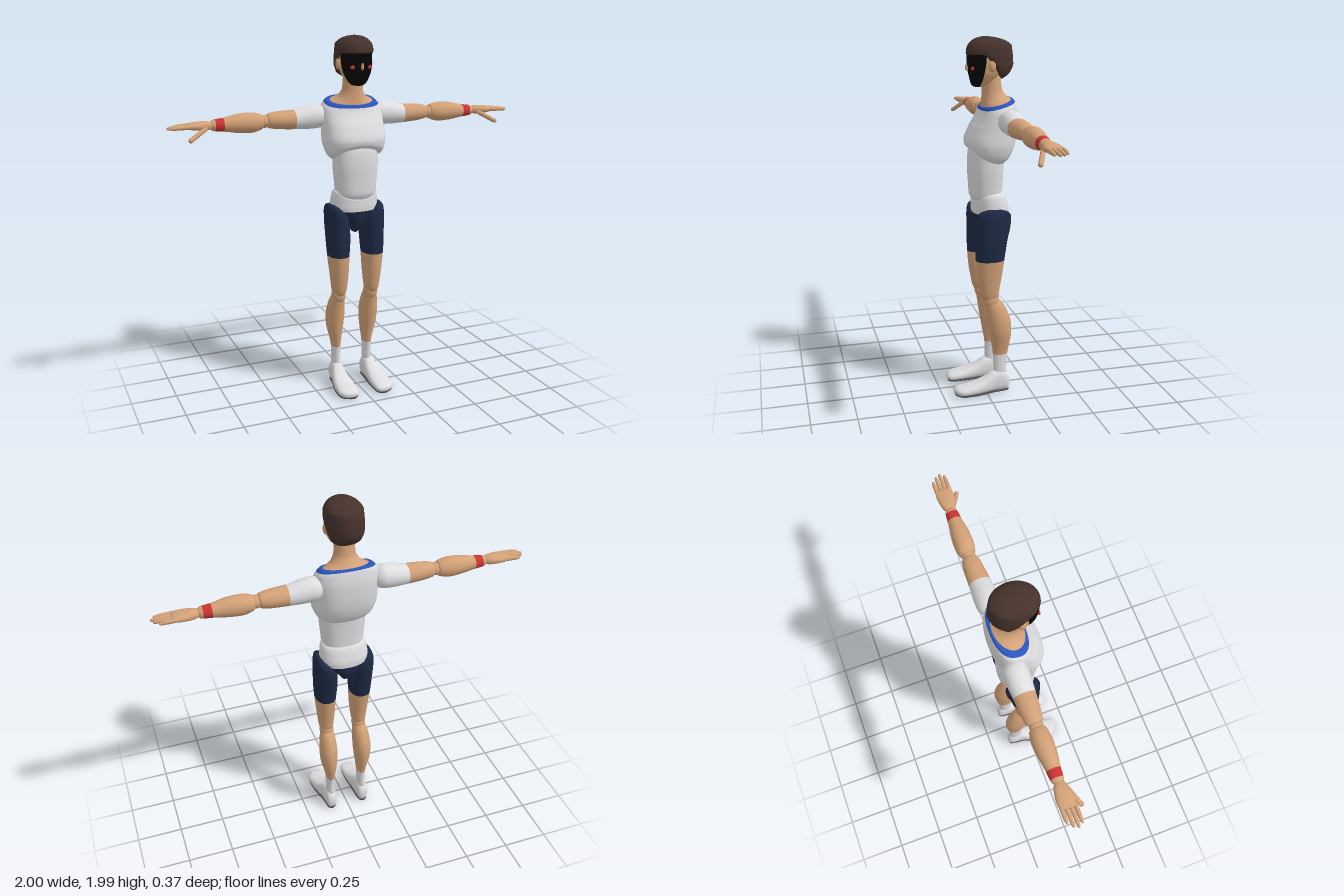
import * as THREE from 'three';

const colour = (name, hex) => {
  const m = new THREE.MeshStandardMaterial({ color: hex });
  m.name = name;
  return m;
};
const skin = colour('skin', 0xd2a177), white = colour('white cloth', 0xdedee0), navy = colour('navy shorts', 0x1d2a44);
const brown = colour('hair brown', 0x46322c), black = colour('mask black', 0x060606), red = colour('red', 0xcc3434);
const blue = colour('collar blue', 0x2a56c0), grey = colour('sole grey', 0x4a4a4e);

const clamp = (v) => Math.min(1, Math.max(0, v));

// Smooth value k of the section table at t, without overshoot
function sample(secs, t, k) {
  let i = 0;
  while (i < secs.length - 2 && t > secs[i + 1][0]) i++;
  const slope = (j) => j < 0 || j >= secs.length - 1 ? null : (secs[j + 1][k] - secs[j][k]) / (secs[j + 1][0] - secs[j][0]);
  const tangent = (j) => {
    const a = slope(j - 1), b = slope(j);
    if (a === null) return b;
    if (b === null) return a;
    return a * b <= 0 ? 0 : (2 * a * b) / (a + b);
  };
  const h = secs[i + 1][0] - secs[i][0], s = (t - secs[i][0]) / h;
  const p = secs[i][k], q = secs[i + 1][k], s2 = s * s, s3 = s2 * s;
  return p * (2 * s3 - 3 * s2 + 1) + q * (3 * s2 - 2 * s3) + h * (tangent(i) * (s3 - 2 * s2 + s) + tangent(i + 1) * (s3 - s2));
}

// Loft through sections [t, uMin, uMax, vMin, vMax]
// axis x: u=y v=z; axis y: u=z v=x; axis z: u=x v=y
function loft(name, mat, axis, secs, { from, to, pow = 2, n = 32, arc, warp } = {}) {
  const first = secs[0][0], last = secs[secs.length - 1][0];
  const lo = from ?? first, hi = to ?? last;
  const ts = [];
  const knots = [lo, ...secs.map((s) => s[0]).filter((t) => t > lo + 1e-6 && t < hi - 1e-6), hi];
  for (let i = 0; i < knots.length - 1; i++) for (let j = 0; j < 3; j++) ts.push(knots[i] + ((knots[i + 1] - knots[i]) * j) / 3);
  ts.push(hi);
  const pos = [], idx = [];
  const cols = arc ? n + 1 : n;
  const put = (t, u, v) => {
    const p = axis === 'x' ? new THREE.Vector3(t, u, v) : axis === 'y' ? new THREE.Vector3(v, t, u) : new THREE.Vector3(u, v, t);
    if (warp) warp(p);
    pos.push(p.x, p.y, p.z);
  };
  const bend = (c) => Math.sign(c) * Math.abs(c) ** (2 / pow);
  for (const t of ts) {
    const [u0, u1, v0, v1] = [1, 2, 3, 4].map((k) => sample(secs, t, k));
    for (let j = 0; j < cols; j++) {
      const a = arc ? arc[0] + ((arc[1] - arc[0]) * j) / n : (j / n) * Math.PI * 2;
      put(t, (u0 + u1) / 2 + ((u1 - u0) / 2) * bend(Math.cos(a)), (v0 + v1) / 2 + ((v1 - v0) / 2) * bend(Math.sin(a)));
    }
  }
  for (let i = 0; i < ts.length - 1; i++) for (let j = 0; j < n; j++) {
    const a = i * cols + j, b = i * cols + ((j + 1) % cols);
    idx.push(a, b, b + cols, a, b + cols, a + cols);
  }
  // Close only the true ends
  const cap = (row, t, flip) => {
    const c = pos.length / 3;
    put(t, (sample(secs, t, 1) + sample(secs, t, 2)) / 2, (sample(secs, t, 3) + sample(secs, t, 4)) / 2);
    for (let j = 0; j < n; j++) {
      const a = row * cols + j, b = row * cols + ((j + 1) % cols);
      flip ? idx.push(c, b, a) : idx.push(c, a, b);
    }
  };
  if (!arc && lo === first) cap(0, lo, true);
  if (!arc && hi === last) cap(ts.length - 1, hi, false);
  const g = new THREE.BufferGeometry();
  g.setAttribute('position', new THREE.Float32BufferAttribute(pos, 3));
  g.setIndex(idx);
  g.computeVertexNormals();
  const mesh = new THREE.Mesh(g, mat);
  mesh.name = name;
  return mesh;
}

function ball(name, mat, [x, y, z], [rx, ry, rz]) {
  const mesh = new THREE.Mesh(new THREE.SphereGeometry(1, 24, 16).scale(rx, ry, rz).translate(x, y, z), mat);
  mesh.name = name;
  return mesh;
}

function mirrored(mesh) {
  const g = mesh.geometry.clone().scale(-1, 1, 1), ix = g.index.array;
  for (let i = 0; i < ix.length; i += 3) [ix[i], ix[i + 1]] = [ix[i + 1], ix[i]];
  const m = new THREE.Mesh(g, mesh.material);
  m.name = mesh.name.replace('left', 'right');
  return m;
}

export function createModel() {
  const model = new THREE.Group();
  model.name = 'jointedFigure';
  const group = (name, parts) => {
    const g = new THREE.Group();
    g.name = name;
    g.add(...parts);
    model.add(g);
  };
  const pair = (name, parts) => {
    group('left' + name, parts);
    group('right' + name, parts.map(mirrored));
  };

  // Head, mask and hair
  const skull = [[1.73, -0.03, 0.045, -0.03, 0.03], [1.742, -0.05, 0.056, -0.048, 0.048], [1.77, -0.08, 0.064, -0.068, 0.068],
    [1.81, -0.11, 0.073, -0.085, 0.085], [1.86, -0.14, 0.08, -0.091, 0.091], [1.91, -0.145, 0.078, -0.092, 0.092], [1.96, -0.1, 0.04, -0.06, 0.06]];
  const hair = [[1.9, -0.11, 0.08, -0.092, 0.092], [1.906, -0.145, 0.083, -0.098, 0.098], [1.92, -0.172, 0.082, -0.102, 0.102],
    [1.945, -0.162, 0.074, -0.095, 0.095], [1.97, -0.125, 0.052, -0.072, 0.072], [1.984, -0.08, 0.025, -0.042, 0.042], [1.99, -0.04, 0, -0.012, 0.012]];
  const nape = (p) => { p.y -= 0.13 * clamp(-p.z / 0.1) * clamp((1.945 - p.y) / 0.045); };
  const edge = 1.33;
  group('head', [
    loft('faceMask', black, 'y', skull, { to: 1.915, arc: [-edge, edge] }),
    loft('headSides', skin, 'y', skull, { to: 1.915, arc: [edge, Math.PI * 2 - edge] }),
    loft('hair', brown, 'y', hair, { warp: nape, n: 40 }),
    ball('nose', skin, [0, 1.832, 0.078], [0.007, 0.02, 0.012]),
  ]);
  pair('FaceDetails', [
    ball('leftEye', red, [0.048, 1.828, 0.061], [0.014, 0.01, 0.008]),
    ball('leftEar', skin, [0.092, 1.842, -0.035], [0.013, 0.03, 0.02]),
  ]);

  // Neck and sloping collar
  const slope = (p) => { p.y -= (p.z + 0.08) * 0.28 * clamp((1.72 - p.y) / 0.08) * clamp((p.y - 1.52) / 0.1); };
  model.add(loft('neck', skin, 'y', [[1.61, -0.16, 0, -0.14, 0.14], [1.635, -0.162, 0.003, -0.138, 0.138], [1.65, -0.152, 0.002, -0.11, 0.11],
    [1.67, -0.135, 0, -0.077, 0.077], [1.71, -0.112, -0.002, -0.056, 0.056], [1.8, -0.1, 0.005, -0.053, 0.053]], { warp: slope }));

  // Torso: rib cage, waist and hips
  const ribs = [[1.32, -0.11, 0.03, -0.11, 0.11], [1.35, -0.14, 0.07, -0.148, 0.148], [1.39, -0.16, 0.086, -0.166, 0.166],
    [1.44, -0.175, 0.09, -0.175, 0.175], [1.5, -0.183, 0.066, -0.173, 0.173], [1.56, -0.185, 0.038, -0.173, 0.173],
    [1.61, -0.176, 0.016, -0.167, 0.167], [1.632, -0.17, 0.009, -0.152, 0.152], [1.645, -0.162, 0.004, -0.138, 0.138]];
  const ribWarp = (p) => {
    slope(p);
    p.y += 0.055 * clamp(1 - (p.x / 0.17) ** 2) * clamp((1.44 - p.y) / 0.1) * clamp((p.z + 0.05) / 0.1);
  };
  const hipWarp = (p) => { p.y -= 0.04 * clamp(1 - (p.x / 0.12) ** 2) * clamp((p.y - 1.08) / 0.07) * clamp((p.z + 0.03) / 0.06); };
  const hips = [[0.915, -0.07, -0.01, -0.012, 0.012], [0.95, -0.11, 0.03, -0.035, 0.035], [1.0, -0.14, 0.048, -0.075, 0.075],
    [1.045, -0.145, 0.054, -0.126, 0.126], [1.07, -0.145, 0.055, -0.134, 0.134], [1.11, -0.135, 0.054, -0.131, 0.131],
    [1.15, -0.12, 0.054, -0.124, 0.124], [1.17, -0.1, 0.035, -0.1, 0.1]];
  group('torso', [
    loft('chest', white, 'y', ribs, { to: 1.631, pow: 2.5, n: 48, warp: ribWarp }),
    loft('collarTrim', blue, 'y', ribs, { from: 1.631, pow: 2.5, n: 48, warp: ribWarp }),
    loft('waist', white, 'y', [[1.11, -0.095, 0.05, -0.09, 0.09], [1.145, -0.108, 0.067, -0.112, 0.112], [1.2, -0.11, 0.07, -0.117, 0.117],
      [1.3, -0.115, 0.075, -0.125, 0.125], [1.38, -0.12, 0.07, -0.125, 0.125], [1.43, -0.11, 0.05, -0.11, 0.11]], { pow: 2.4 }),
    loft('hips', white, 'y', hips, { from: 1.045, pow: 2.3, warp: hipWarp }),
    loft('shortsCrotch', navy, 'y', hips, { to: 1.045, pow: 2.3 }),
  ]);

  // Arms
  const upperArm = [[0.14, 1.52, 1.59, -0.14, -0.06], [0.155, 1.506, 1.612, -0.16, -0.045], [0.19, 1.496, 1.625, -0.174, -0.044],
    [0.24, 1.494, 1.62, -0.174, -0.046], [0.32, 1.497, 1.602, -0.168, -0.052], [0.4, 1.502, 1.598, -0.165, -0.06],
    [0.46, 1.511, 1.589, -0.156, -0.07], [0.478, 1.53, 1.572, -0.135, -0.09]];
  const foreArm = [[0.485, 1.53, 1.565, -0.135, -0.09], [0.5, 1.507, 1.588, -0.156, -0.07], [0.56, 1.492, 1.6, -0.165, -0.06],
    [0.62, 1.495, 1.597, -0.161, -0.062], [0.7, 1.507, 1.58, -0.149, -0.074], [0.76, 1.514, 1.572, -0.143, -0.08], [0.775, 1.525, 1.562, -0.13, -0.09]];
  const palm = [[0.765, 1.525, 1.562, -0.132, -0.088], [0.8, 1.521, 1.568, -0.148, -0.075], [0.86, 1.525, 1.565, -0.157, -0.064], [0.9, 1.533, 1.558, -0.152, -0.069]];
  const fingers = [[-0.144, 0.965], [-0.121, 0.99], [-0.098, 1.0], [-0.076, 0.985]].map(([z, tip]) =>
    loft('leftFinger', skin, 'x', [[0.875, 1.534, 1.558, z - 0.011, z + 0.011], [0.93, 1.533, 1.556, z - 0.0105, z + 0.0105],
      [tip - 0.01, 1.533, 1.55, z - 0.008, z + 0.008], [tip, 1.538, 1.545, z - 0.003, z + 0.003]], { n: 12 }));
  const a = new THREE.Vector3(0.8, 1.535, -0.085), b = new THREE.Vector3(0.892, 1.482, -0.042);
  const thumbTurn = new THREE.Quaternion().setFromUnitVectors(new THREE.Vector3(0, 1, 0), b.clone().sub(a).normalize());
  const mid = a.clone().add(b).multiplyScalar(0.5);
  const thumb = new THREE.Mesh(new THREE.CapsuleGeometry(0.0125, a.distanceTo(b), 6, 12).applyQuaternion(thumbTurn).translate(mid.x, mid.y, mid.z), skin);
  thumb.name = 'leftThumb';
  pair('Arm', [
    loft('leftSleeve', white, 'x', upperArm, { to: 0.32 }),
    loft('leftUpperArm', skin, 'x', upperArm, { from: 0.32 }),
    ball('leftElbow', skin, [0.483, 1.548, -0.112], [0.032, 0.034, 0.036]),
    loft('leftForearm', skin, 'x', foreArm, { to: 0.705 }),
    loft('leftWristband', red, 'x', foreArm, { from: 0.705, to: 0.75 }),
    loft('leftWrist', skin, 'x', foreArm, { from: 0.75 }),
    loft('leftPalm', skin, 'x', palm, { pow: 2.4 }),
    ...fingers, thumb,
  ]);

  // Legs
  const thigh = [[0.555, -0.05, 0.015, 0.075, 0.12], [0.58, -0.072, 0.028, 0.06, 0.138], [0.62, -0.076, 0.036, 0.054, 0.143],
    [0.7, -0.09, 0.05, 0.048, 0.151], [0.79, -0.102, 0.057, 0.044, 0.16], [0.9, -0.118, 0.06, 0.037, 0.166], [1.0, -0.136, 0.06, 0.045, 0.167],
    [1.04, -0.135, 0.055, 0.07, 0.165], [1.065, -0.118, 0.042, 0.098, 0.159], [1.08, -0.075, 0.005, 0.122, 0.148]];
  const shin = [[0.1, -0.12, -0.045, 0.074, 0.122], [0.16, -0.12, -0.045, 0.073, 0.121], [0.225, -0.126, -0.042, 0.071, 0.122],
    [0.28, -0.136, -0.034, 0.065, 0.132], [0.36, -0.146, -0.02, 0.055, 0.151], [0.42, -0.143, -0.01, 0.051, 0.154],
    [0.5, -0.115, 0.002, 0.056, 0.145], [0.54, -0.09, 0.008, 0.063, 0.135], [0.565, -0.06, -0.005, 0.077, 0.118]];
  const foot = [[-0.137, 0.085, 0.112, 0.03, 0.07], [-0.126, 0.072, 0.126, 0.006, 0.1], [-0.09, 0.065, 0.132, 0.004, 0.128],
    [-0.045, 0.062, 0.137, 0.004, 0.125], [0, 0.058, 0.15, 0.004, 0.096], [0.08, 0.052, 0.164, 0.004, 0.063],
    [0.13, 0.052, 0.165, 0.004, 0.052], [0.165, 0.057, 0.15, 0.005, 0.044], [0.183, 0.073, 0.118, 0.012, 0.034]];
  pair('Leg', [
    loft('leftShortsLeg', navy, 'y', thigh, { from: 0.79, pow: 2.2 }),
    loft('leftThigh', skin, 'y', thigh, { to: 0.79, pow: 2.2 }),
    ball('leftKnee', skin, [0.098, 0.553, -0.03], [0.04, 0.055, 0.046]),
    loft('leftShin', skin, 'y', shin, { from: 0.225 }),
    loft('leftSock', white, 'y', shin, { to: 0.225 }),
    loft('leftShoe', white, 'z', foot, { pow: 2.5 }),
    loft('leftSole', grey, 'z', foot.map(([z, x0, x1]) => [z * 0.98, x0 + 0.004, x1 - 0.004, 0, 0.009]), { pow: 3 }),
  ]);
  return model;
}
